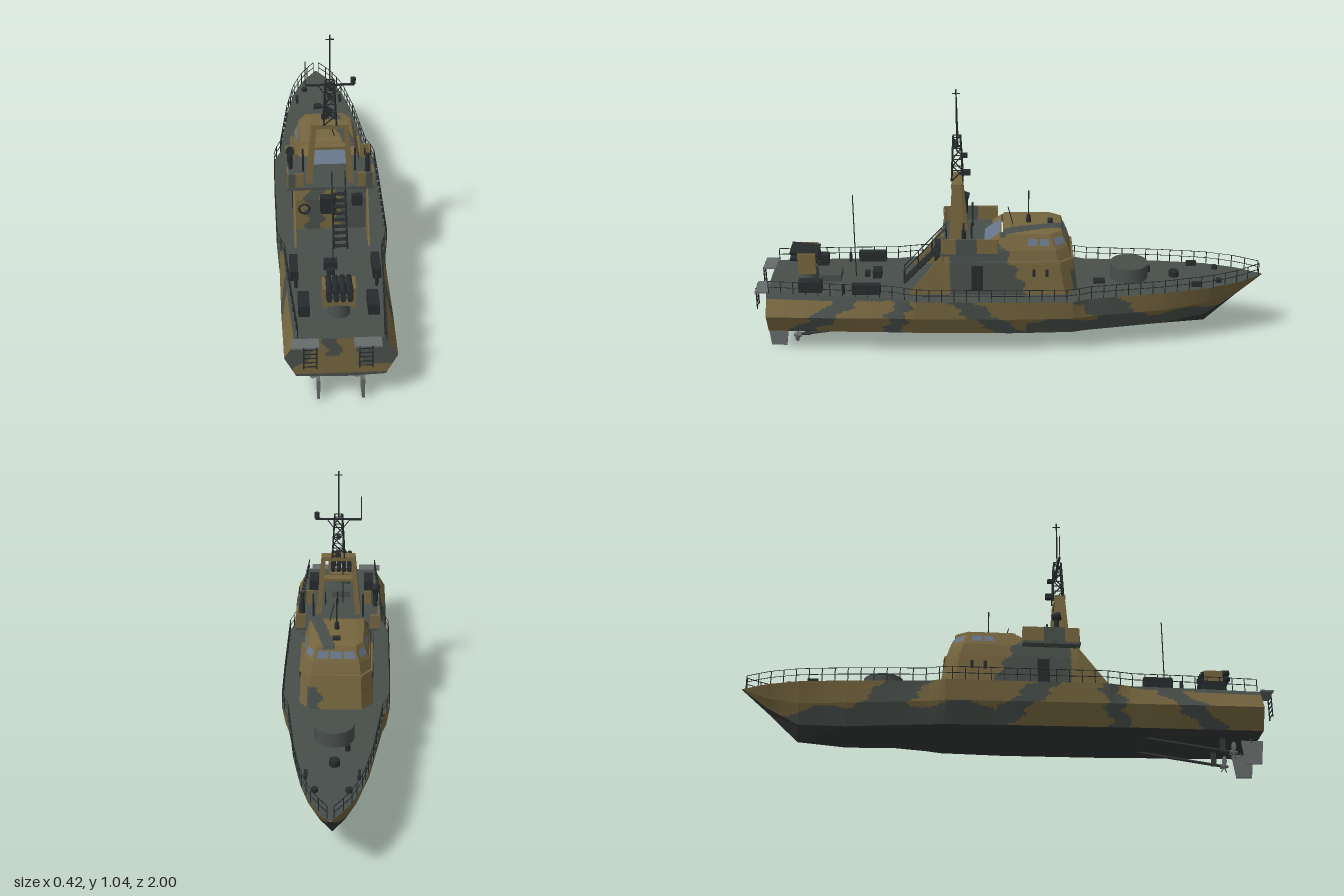
import * as THREE from 'three';
import { mergeGeometries } from 'three/addons/utils/BufferGeometryUtils.js';

const mat = (name, color, side = THREE.FrontSide) => {
  const m = new THREE.MeshStandardMaterial({ color, side });
  m.name = name;
  return m;
};
const V = (x, y, z) => new THREE.Vector3(x, y, z);

export function createModel() {
  const ship = new THREE.Group();
  ship.name = 'patrolBoat';
  const olive = mat('olive', 0x76663f), gray = mat('seaGray', 0x484f4b), bottom = mat('bottomGray', 0x343836);
  const black = mat('fittingBlack', 0x262b2d), steel = mat('steelGray', 0x666b6b, THREE.DoubleSide);
  const glass = mat('glass', 0x66758a, THREE.DoubleSide);

  const add = (name, geo, m) => {
    const mesh = new THREE.Mesh(geo, m);
    mesh.name = name;
    ship.add(mesh);
    return mesh;
  };
  const lerpQuad = (q, u, v) => q[0].clone().lerp(q[1], u).lerp(q[3].clone().lerp(q[2], u), v);

  // Camouflaged surface: each quad is cut in small cells, each cell takes olive or gray by rule
  const painted = (name, quads, isGray, step = 0.01) => {
    const lists = [[], []];
    const tri = (a, b, c) => {
      const m = a.clone().add(b).add(c).divideScalar(3);
      const l = lists[isGray(m) ? 1 : 0];
      for (const p of [a, b, c]) l.push(p.x, p.y, p.z);
    };
    for (const q of quads) {
      const nu = Math.max(1, Math.round(Math.max(q[0].distanceTo(q[1]), q[3].distanceTo(q[2])) / step));
      const nv = Math.max(1, Math.round(Math.max(q[0].distanceTo(q[3]), q[1].distanceTo(q[2])) / step));
      for (let i = 0; i < nu; i++) for (let j = 0; j < nv; j++) {
        const [a, b, c, d] = [[i, j], [i + 1, j], [i + 1, j + 1], [i, j + 1]].map(([u, v]) => lerpQuad(q, u / nu, v / nv));
        tri(a, b, c);
        tri(a, c, d);
      }
    }
    const g = new THREE.BufferGeometry();
    g.setAttribute('position', new THREE.Float32BufferAttribute(lists[0].concat(lists[1]), 3));
    g.addGroup(0, lists[0].length / 3, 0);
    g.addGroup(lists[0].length / 3, lists[1].length / 3, 1);
    g.computeVertexNormals();
    return add(name, g, [olive, gray]);
  };
  const plain = (name, quads, m) => { painted(name, quads, () => false, 9).material = [m, m]; };

  const box = (w, h, d, x, y, z) => new THREE.BoxGeometry(w, h, d).translate(x, y, z);
  const cyl = (r0, r1, h, x, y, z, n = 16) => new THREE.CylinderGeometry(r1, r0, h, n).translate(x, y, z);
  const strut = (a, b, r = 0.002, n = 5) => {
    const d = b.clone().sub(a);
    const q = new THREE.Quaternion().setFromUnitVectors(V(0, 1, 0), d.clone().normalize());
    return new THREE.CylinderGeometry(r, r, d.length(), n).applyQuaternion(q).translate(...a.clone().add(b).multiplyScalar(0.5).toArray());
  };
  const merged = (name, list, m) => add(name, mergeGeometries(list), m);

  // Hull stations: z, then half width and height of deck, knuckle and chine, then keel height
  const st = [
    [0.95, 0.15, 0.265, 0.196, 0.185, 0.155, 0.105, 0.098], [0.7, 0.168, 0.262, 0.2, 0.182, 0.16, 0.102, 0.092],
    [0.45, 0.182, 0.258, 0.2, 0.18, 0.164, 0.1, 0.085], [0.37, 0.208, 0.255, 0.203, 0.178, 0.165, 0.098, 0.08],
    [0, 0.21, 0.252, 0.203, 0.175, 0.165, 0.095, 0.068], [-0.24, 0.208, 0.253, 0.195, 0.175, 0.155, 0.095, 0.058],
    [-0.3, 0.182, 0.254, 0.178, 0.175, 0.142, 0.097, 0.055], [-0.6, 0.146, 0.26, 0.13, 0.178, 0.09, 0.1, 0.05],
    [-0.78, 0.112, 0.265, 0.085, 0.188, 0.045, 0.118, 0.066], [-0.9, 0.068, 0.268, 0.042, 0.22, 0.016, 0.192, 0.18],
    [-1, 0.004, 0.271, 0.003, 0.2705, 0.002, 0.27, 0.269]];
  const side = [], under = [], deck = [];
  const at = (s, k, sgn) => k === 3 ? V(0, s[7], s[0]) : V(sgn * s[1 + 2 * k], s[2 + 2 * k], s[0]);
  for (let i = 0; i < st.length - 1; i++) {
    const A = st[i], B = st[i + 1];
    for (const s of [1, -1]) for (let k = 0; k < 3; k++) {
      const q = [at(A, k + 1, s), at(B, k + 1, s), at(B, k, s), at(A, k, s)];
      (k < 2 ? side : under).push(s > 0 ? q : q.reverse());
    }
    deck.push([at(A, 0, 1), at(B, 0, 1), at(B, 0, -1), at(A, 0, -1)]);
  }
  // Stripes: z at deck, z at chine, half width
  const stripes = [[0.63, 0.82, 0.05], [0.42, 0.46, 0.035], [0.2, 0, 0.055], [-0.32, -0.5, 0.09]];
  painted('hullSides', side, ({ x, y, z }) => {
    if (z < -0.06 && y < 0.165 + 0.012 * Math.sin(z * 25)) return true;
    if (z > 0.45 && y > 0.247) return true;
    const t = (0.26 - y) / 0.16, zz = z + (x < 0 ? 0.05 : 0) + 0.014 * Math.sin(y * 90) + 0.008 * Math.sin(y * 210 + z * 30);
    return stripes.some(([a, b, w]) => Math.abs(zz - a - (b - a) * t) < w);
  });
  plain('hullBottom', under, bottom);
  plain('deck', deck, gray);
  const T = st[0];
  painted('transom', [[0, 1], [1, 2]].map(([a, b]) => [at(T, b, -1), at(T, b, 1), at(T, a, 1), at(T, a, -1)]).concat(
    [[at(T, 3, 1), at(T, 2, 1), at(T, 2, -1), at(T, 3, 1)]]), ({ x, y }) => {
    const w = 0.012 * Math.sin(y * 80);
    return y < 0.112 || (x < -0.1 + (y - 0.2) * 0.9 + w && y < 0.22) || (x > 0.06 + w && y > 0.15) || (Math.abs(x + 0.03 + w) < 0.025 && y > 0.19);
  });

  // Deckhouse and wheelhouse: rings of six plan points
  const ring = (y, zf, za, h, hf, c) => [V(h, y, za), V(h, y, zf + c), V(hf, y, zf), V(-hf, y, zf), V(-h, y, zf + c), V(-h, y, za)];
  const walls = (r) => r.slice(1).flatMap((up, i) => up.map((p, k) => {
    const n = (k + 1) % 6;
    return [r[i][k], r[i][n], up[n], p];
  }));
  const cap = (p) => [[p[0], p[1], p[4], p[5]], [p[1], p[2], p[3], p[4]]];
  const houseCamo = ({ x, y, z }) => {
    if (y > 0.484) return Math.abs(x - 0.03 - 0.25 * (z + 0.19)) < 0.024;
    const w = 0.012 * Math.sin(y * 100);
    if (z > 0.262) return x > 0.03 + w || Math.abs(x + 0.06 + w) < 0.03;
    if (z < -0.2) return x > 0.06 + w && x < 0.11 && y < 0.34;
    return z > -0.07 + (y - 0.25) * 0.5 + w && z < 0.235 && y < 0.46;
  };
  const low = [ring(0.25, -0.262, 0.27, 0.142, 0.1, 0.05), ring(0.385, -0.238, 0.27, 0.135, 0.095, 0.05), ring(0.435, -0.222, 0.26, 0.128, 0.09, 0.05)];
  const up = [ring(0.43, -0.224, 0.11, 0.126, 0.09, 0.05), ring(0.488, -0.198, 0.035, 0.104, 0.074, 0.045)];
  painted('deckhouse', walls(low), houseCamo);
  painted('wheelhouse', walls(up), houseCamo);
  const lip = [ring(0.486, -0.203, 0.03, 0.108, 0.077, 0.046), ring(0.496, -0.198, 0.025, 0.104, 0.074, 0.045), ring(0.502, -0.165, 0, 0.08, 0.06, 0.04)];
  painted('roof', [...walls(lip), ...cap(lip[2])], houseCamo);
  const rim = [ring(0.382, -0.245, 0.12, 0.141, 0.099, 0.051), ring(0.392, -0.243, 0.12, 0.14, 0.098, 0.051)];
  painted('ledge', [...walls(rim), ...cap(rim[1])], houseCamo);

  // Windows lie just outside the wheelhouse walls
  const win = [], wq = walls(up);
  const pane = (q, u0, u1, v0, v1) => {
    const n = q[1].clone().sub(q[0]).cross(q[3].clone().sub(q[0])).normalize().multiplyScalar(0.003);
    win.push([[u0, v0], [u1, v0], [u1, v1], [u0, v1]].map(([u, v]) => lerpQuad(q, u, v).add(n)));
  };
  for (let i = 0; i < 3; i++) pane(wq[2], 0.06 + i * 0.31, 0.32 + i * 0.31, 0.35, 0.8);
  for (const k of [1, 3]) pane(wq[k], 0.15, 0.85, 0.35, 0.8);
  for (let i = 0; i < 2; i++) {
    pane(wq[0], 0.58 + i * 0.2, 0.74 + i * 0.2, 0.35, 0.8);
    pane(wq[4], 0.1 + i * 0.2, 0.26 + i * 0.2, 0.35, 0.8);
  }
  pane(wq[5], 0.22, 0.8, 0.1, 0.95);
  plain('windows', win, glass);

  // Bridge deck, parapets and sloping side fins
  merged('bridgeDeck', [box(0.33, 0.01, 0.22, 0, 0.435, 0.16)], gray);
  for (const s of [1, -1]) {
    const name = s > 0 ? 'right' : 'left';
    merged(name + 'Parapet', [box(0.008, 0.06, 0.21, s * 0.161, 0.468, 0.155), box(0.06, 0.06, 0.008, s * 0.132, 0.468, 0.262), box(0.035, 0.06, 0.008, s * 0.145, 0.468, 0.054)], olive);
    merged(name + 'ParapetPatch', [box(0.01, 0.061, 0.08, s * 0.1615, 0.468, 0.17), box(0.025, 0.061, 0.01, s * 0.145, 0.468, 0.2625)], gray);
    const fin = new THREE.Shape([[-0.26, 0.25], [-0.4, 0.25], [-0.26, 0.43]].map(p => new THREE.Vector2(...p)));
    add(name + 'Fin', new THREE.ExtrudeGeometry(fin, { depth: 0.008, bevelEnabled: false }).rotateY(Math.PI / 2).translate(s * 0.138 - 0.004, 0, 0), olive);
    merged(name + 'Door', [box(0.008, 0.1, 0.045, s * 0.139, 0.325, 0.13), box(0.008, 0.03, 0.012, s * 0.139, 0.345, -0.14), box(0.008, 0.03, 0.012, s * 0.139, 0.345, -0.09)], black);
  }
  merged('aftWallFittings', [box(0.04, 0.045, 0.02, 0.1, 0.39, 0.28), box(0.06, 0.07, 0.03, -0.01, 0.375, 0.285),
    new THREE.TorusGeometry(0.02, 0.004, 8, 20).translate(-0.1, 0.35, 0.276)], black);

  // Stairs and ladders
  const ladder = (a, b, w, n, r) => {
    const out = [-w, w].map(o => strut(a.clone().setX(a.x + o), b.clone().setX(b.x + o), r));
    for (let i = 0; i < n; i++) {
      const p = a.clone().lerp(b, (i + 0.5) / n);
      out.push(box(2 * w, 0.003, r > 0.003 ? 0.018 : 0.003, p.x, p.y, p.z));
    }
    return out;
  };
  const stair = ladder(V(0.03, 0.262, 0.42), V(0.03, 0.44, 0.25), 0.025, 10, 0.004);
  for (const o of [0.005, 0.055]) {
    stair.push(strut(V(o, 0.315, 0.42), V(o, 0.5, 0.25)));
    for (let i = 0; i < 4; i++) stair.push(strut(V(o, 0.262 + i * 0.058, 0.42 - i * 0.056), V(o, 0.317 + i * 0.06, 0.42 - i * 0.056)));
  }
  merged('stairs', stair, black);
  merged('sternLadders', [-0.108, 0.082].flatMap(x => ladder(V(x, 0.175, 0.997), V(x, 0.265, 0.997), 0.022, 5, 0.0025)), black);
  merged('sternPlatforms', [-0.125, 0.09].map(x => box(0.095, 0.006, 0.05, x, 0.262, 0.972)), steel);

  // Mast frame, lattice, yard and aerials
  const legs = [];
  for (const s of [1, -1]) {
    const lo = [[0.068, 0.24], [0.068, 0.168], [0.09, 0.168], [0.09, 0.24]], hi = [[0.05, 0.225], [0.05, 0.188], [0.068, 0.188], [0.068, 0.225]];
    const g = [[lo, 0.44, hi, 0.68]];
    for (const [a, y0, b, y1] of g) for (let k = 0; k < 4; k++) {
      const n = (k + 1) % 4;
      const q = [V(s * a[n][0], y0, a[n][1]), V(s * a[k][0], y0, a[k][1]), V(s * b[k][0], y1, b[k][1]), V(s * b[n][0], y1, b[n][1])];
      legs.push(s > 0 ? q : q.reverse());
    }
  }
  plain('mastLegs', legs, mat('olive', 0x76663f, THREE.DoubleSide));
  ship.children.at(-1).material = (olive.side = THREE.DoubleSide, [olive, olive]);
  merged('mastCrossbars', [box(0.136, 0.016, 0.04, 0, 0.677, 0.207), box(0.125, 0.012, 0.035, 0, 0.583, 0.206)], olive);
  const lat = [], corner = (k, t) => V((k % 3 ? 1 : -1) * (0.024 - 0.009 * t), 0.683 + 0.175 * t, 0.205 + (k < 2 ? 1 : -1) * (0.022 - 0.008 * t));
  for (let k = 0; k < 4; k++) {
    lat.push(strut(corner(k, 0), corner(k, 1), 0.0035));
    for (let i = 0; i < 4; i++) {
      const n = (k + 1) % 4;
      lat.push(strut(corner(i % 2 ? n : k, i / 4), corner(i % 2 ? k : n, (i + 1) / 4), 0.0025));
      lat.push(strut(corner(k, (i + 1) / 4), corner(n, (i + 1) / 4), 0.002));
    }
  }
  for (const s of [1, -1]) lat.push(strut(V(s * 0.015, 0.8, 0.205), V(s * 0.045, 0.842, 0.205), 0.002));
  lat.push(box(0.18, 0.006, 0.008, 0, 0.843, 0.205), strut(V(0, 0.85, 0.205), V(0, 1.045, 0.205), 0.003), box(0.03, 0.003, 0.003, 0, 1.028, 0.205), box(0.003, 0.003, 0.03, 0, 1.028, 0.205),
    strut(V(-0.09, 0.843, 0.205), V(-0.09, 0.94, 0.205), 0.0018), cyl(0.01, 0.01, 0.01, 0.085, 0.852, 0.205), cyl(0.01, 0.01, 0.01, 0.085, 0.865, 0.205),
    box(0.02, 0.02, 0.03, 0, 0.71, 0.17), box(0.015, 0.015, 0.02, 0, 0.78, 0.175));
  merged('latticeMast', lat, black);
  merged('aerials', [strut(V(0, 0.5, -0.07), V(0, 0.632, -0.07), 0.003), cyl(0.01, 0.008, 0.03, 0, 0.515, -0.07), strut(V(-0.01, 0.26, 0.615), V(-0.01, 0.61, 0.615), 0.0022),
    strut(V(0.03, 0.5, -0.01), V(0.012, 0.57, 0.01)), box(0.03, 0.01, 0.02, 0, 0.507, -0.155)], black);

  // Lights on the bridge wings
  merged('wingLights', [cyl(0.01, 0.01, 0.06, -0.15, 0.505, 0.18), new THREE.CylinderGeometry(0.017, 0.014, 0.03, 14).rotateX(1.3).translate(-0.15, 0.55, 0.18),
    cyl(0.01, 0.008, 0.09, 0.145, 0.485, 0.18), ...[0.134, 0.156].map(x => box(0.004, 0.03, 0.008, x, 0.54, 0.18)), box(0.026, 0.004, 0.008, 0.145, 0.527, 0.18),
    ...[-0.1, 0.1].map(x => strut(V(x, 0.44, 0.15), V(x, 0.54, 0.15), 0.004))], black);

  // Deck railings follow the deck edge
  const rails = [];
  for (const s of [1, -1]) {
    const edge = (t) => {
      const z = 0.94 - t * 1.925, i = Math.min(st.findIndex(p => p[0] <= z), st.length - 1), A = st[i - 1], B = st[i];
      const f = (A[0] - z) / (A[0] - B[0]), m = k => A[k] + (B[k] - A[k]) * f;
      return V(s * (m(1) - 0.002), m(2), z);
    };
    for (let i = 0; i <= 40; i++) {
      const p = edge(i / 40), raise = h => p.clone().setY(p.y + h);
      rails.push(strut(p, raise(0.052), 0.0018, 4));
      if (i < 40) for (const h of [0.027, 0.052]) {
        const q = edge((i + 1) / 40);
        rails.push(strut(raise(h), q.setY(q.y + h), 0.0015, 4));
      }
    }
  }
  merged('railings', rails, black);

  // Stern launcher
  merged('launcherBase', [cyl(0.04, 0.035, 0.05, 0, 0.288, 0.8, 20), box(0.08, 0.03, 0.08, 0, 0.275, 0.71)], gray);
  merged('launcherCradle', [box(0.012, 0.085, 0.07, 0.052, 0.345, 0.8), box(0.012, 0.085, 0.07, -0.052, 0.345, 0.8), box(0.1, 0.02, 0.06, 0, 0.318, 0.8)], olive);
  const tubes = [];
  for (let r = 0; r < 2; r++) for (let c = 0; c < 4; c++)
    tubes.push(new THREE.CylinderGeometry(0.011, 0.011, 0.11, 10).rotateX(1.48).translate(-0.036 + c * 0.024, 0.358 + r * 0.026, 0.81));
  merged('launcherTubes', tubes, black);

  // Deck fittings
  merged('bowGunRing', [cyl(0.075, 0.075, 0.06, 0, 0.295, -0.47, 32)], gray);
  const fit = [box(0.03, 0.012, 0.045, 0.04, 0.262, -0.35), cyl(0.02, 0.02, 0.025, -0.005, 0.272, -0.65, 12), cyl(0.01, 0.01, 0.025, -0.05, 0.27, -0.55, 8),
    box(0.05, 0.03, 0.035, -0.015, 0.275, 0.53), box(0.03, 0.02, 0.02, -0.015, 0.27, 0.57)];
  for (const s of [1, -1]) fit.push(box(0.012, 0.022, 0.04, s * 0.095, 0.272, -0.73), box(0.04, 0.045, 0.09, s * 0.122, 0.285, 0.78),
    box(0.03, 0.04, 0.11, s * 0.15, 0.285, 0.56), cyl(0.006, 0.006, 0.04, s * 0.145, 0.28, 0.65, 8), cyl(0.012, 0.012, 0.02, s * 0.06, 0.27, -0.82, 8));
  merged('deckFittings', fit, black);

  // Rudders, shafts and propellers
  for (const s of [1, -1]) {
    const x = s * 0.078, sh = new THREE.Shape([[-0.965, 0.092], [-0.955, 0.002], [-0.895, 0], [-0.882, 0.092]].map(p => new THREE.Vector2(...p)));
    add('rudder', new THREE.ExtrudeGeometry(sh, { depth: 0.01, bevelEnabled: false }).rotateY(Math.PI / 2).translate(x - 0.005, 0, 0), steel);
    const prop = [cyl(0.01, 0.006, 0.03, 0, 0, 0, 10).rotateX(Math.PI / 2)];
    for (let i = 0; i < 3; i++) prop.push(new THREE.SphereGeometry(1, 10, 6).scale(0.013, 0.019, 0.002).rotateY(0.6).translate(0, 0.022, 0).rotateZ(i * 2.094 + 0.4));
    merged('propeller', prop, steel).position.set(x, 0.045, 0.85);
    merged('shaft', [strut(V(x, 0.045, 0.85), V(x, 0.095, 0.5), 0.006, 8), box(0.008, 0.06, 0.02, x, 0.075, 0.81), cyl(0.006, 0.006, 0.03, x, 0.1, 0.92, 8)], bottom);
  }
  return ship;
}
